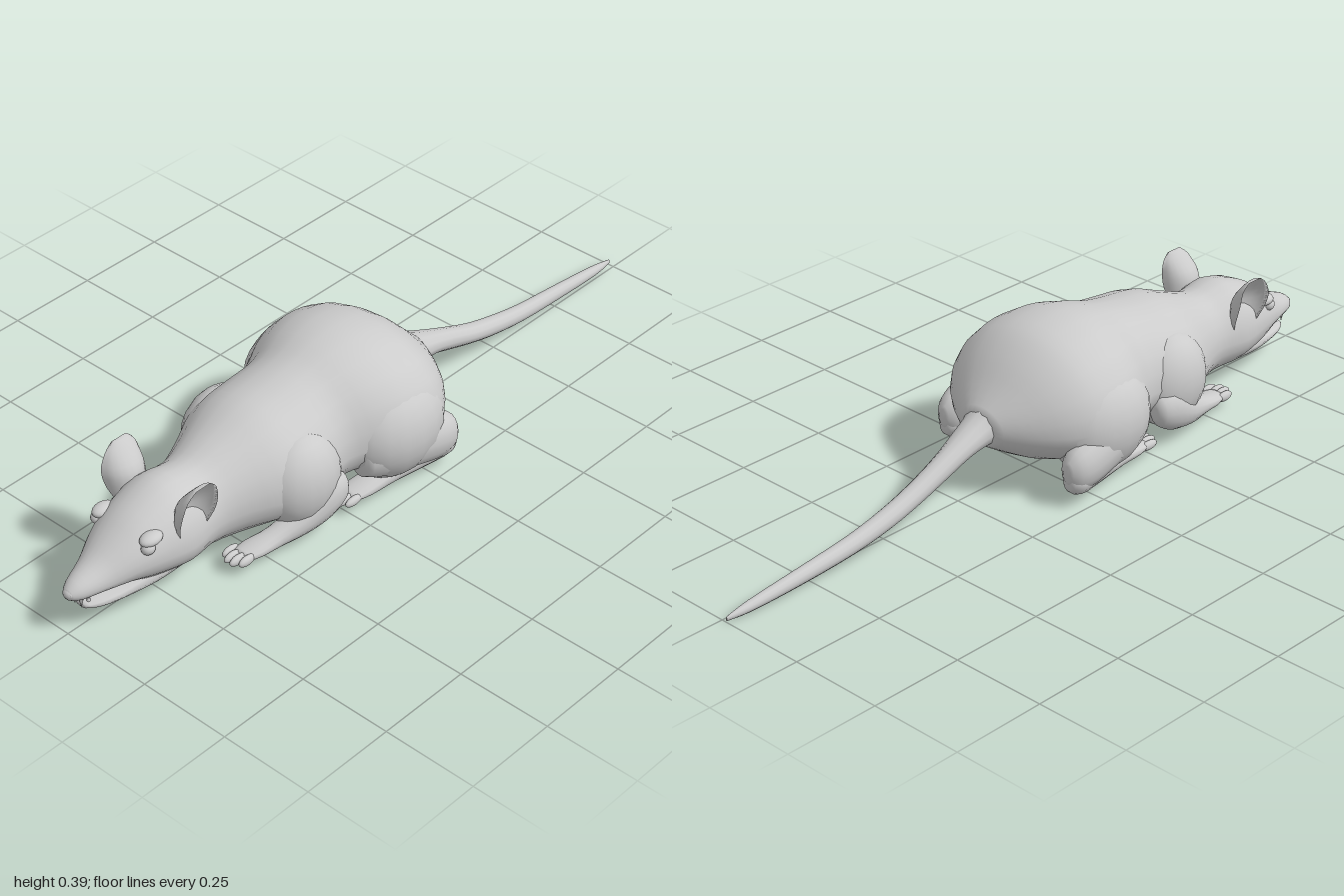
import * as THREE from 'three';

const material = new THREE.MeshStandardMaterial({ color: 0xcccccc });

// Catmull-Rom blend of one channel
function blend(a, b, c, d, t) {
  return 0.5 * (2 * b + (c - a) * t + (2 * a - 5 * b + 4 * c - d) * t * t + (3 * b - a - 3 * c + d) * t * t * t);
}

// Closed smooth skin over sections [z, x, yBottom, yTop, halfWidth, widestAt], z falling.
// cup: side (+1 / -1) whose surface is pushed in to make a hollow shell.
function loft(sections, sides = 16, steps = 3, cup = 0) {
  const rows = [];
  const at = i => sections[Math.min(Math.max(i, 0), sections.length - 1)];
  for (let i = 0; i < sections.length - 1; i++) {
    for (let s = 0; s < steps; s++) {
      rows.push(at(i).map((v, k) => blend(at(i - 1)[k], v, at(i + 1)[k], at(i + 2)[k], s / steps)));
    }
  }
  rows.push(sections[sections.length - 1]);
  const pos = [], index = [];
  for (const [z, x, lo, hi, half, widest = 0.5] of rows) {
    const mid = lo + (hi - lo) * widest;
    for (let j = 0; j < sides; j++) {
      const a = (j / sides) * Math.PI * 2;
      let c = Math.cos(a);
      if (c * cup > 0) c *= -0.75;
      const s = Math.sin(a);
      pos.push(x + Math.max(half, 0.001) * c, mid + s * (s > 0 ? hi - mid : mid - lo), z);
    }
  }
  for (let i = 0; i < rows.length - 1; i++) {
    for (let j = 0; j < sides; j++) {
      const a = i * sides + j, b = i * sides + (j + 1) % sides;
      index.push(a, a + sides, b, b, a + sides, b + sides);
    }
  }
  // end caps
  [0, rows.length - 1].forEach((r, end) => {
    const [z, x, lo, hi] = rows[r], centre = pos.length / 3;
    pos.push(x, (lo + hi) / 2, z);
    for (let j = 0; j < sides; j++) {
      const a = r * sides + j, b = r * sides + (j + 1) % sides;
      index.push(centre, end ? b : a, end ? a : b);
    }
  });
  const g = new THREE.BufferGeometry();
  g.setAttribute('position', new THREE.Float32BufferAttribute(pos, 3));
  g.setIndex(index);
  g.computeVertexNormals();
  return g;
}

export function createModel() {
  const model = new THREE.Group();
  model.name = 'rat';

  const add = (name, geometry, parent = model) => {
    const mesh = new THREE.Mesh(geometry, material);
    mesh.name = name;
    parent.add(mesh);
    return mesh;
  };
  const blob = (name, p, r, parent) => {
    const mesh = add(name, new THREE.SphereGeometry(1, 18, 12), parent);
    mesh.position.set(...p);
    mesh.scale.set(...r);
    return mesh;
  };
  // sections of a limb moved to one side
  const sided = (side, list) => list.map(([z, x, ...rest]) => [z, x * side, ...rest]);

  // Head and torso in one skin, nose to rump
  add('body', loft([
    [0.995, 0, 0.1, 0.122, 0.014, 0.5],
    [0.97, 0, 0.09, 0.14, 0.032, 0.45],
    [0.91, 0, 0.088, 0.165, 0.055, 0.4],
    [0.85, 0, 0.08, 0.205, 0.083, 0.45],
    [0.79, 0, 0.06, 0.242, 0.103, 0.45],
    [0.7, 0, 0.045, 0.275, 0.118, 0.4],
    [0.61, 0, 0.04, 0.265, 0.108, 0.45],
    [0.53, 0, 0.035, 0.29, 0.135, 0.45],
    [0.43, 0, 0.035, 0.327, 0.185, 0.4],
    [0.34, 0, 0.04, 0.34, 0.19, 0.4],
    [0.25, 0, 0.045, 0.357, 0.185, 0.4],
    [0.17, 0, 0.05, 0.38, 0.225, 0.4],
    [0.09, 0, 0.05, 0.387, 0.25, 0.4],
    [0, 0, 0.055, 0.37, 0.245, 0.4],
    [-0.07, 0, 0.07, 0.325, 0.205, 0.42],
    [-0.13, 0, 0.1, 0.265, 0.135, 0.45],
    [-0.18, 0, 0.13, 0.215, 0.055, 0.5],
  ], 24));

  // Tail, drooping to the ground
  add('tail', loft([
    [-0.1, 0, 0.14, 0.27, 0.1],
    [-0.17, -0.002, 0.13, 0.222, 0.055],
    [-0.24, -0.006, 0.12, 0.187, 0.04],
    [-0.32, -0.01, 0.09, 0.152, 0.031],
    [-0.41, -0.012, 0.06, 0.115, 0.028],
    [-0.5, -0.014, 0.036, 0.088, 0.026],
    [-0.62, -0.015, 0.016, 0.063, 0.023],
    [-0.78, -0.016, 0.005, 0.045, 0.019],
    [-0.93, -0.016, 0.001, 0.028, 0.014],
    [-1, -0.016, 0.005, 0.016, 0.003],
  ], 12));

  // Open mouth: lower jaw and nose
  add('lowerJaw', loft([
    [0.955, 0, 0.054, 0.068, 0.018],
    [0.92, 0, 0.046, 0.075, 0.04],
    [0.86, 0, 0.044, 0.085, 0.06],
    [0.78, 0, 0.042, 0.11, 0.08],
    [0.7, 0, 0.045, 0.12, 0.085],
  ], 14));
  blob('nose', [0, 0.112, 0.982], [0.02, 0.015, 0.018]);

  for (const side of [1, -1]) {
    const label = side > 0 ? 'left' : 'right';
    const half = new THREE.Group();
    half.name = label + 'Side';
    model.add(half);

    // Incisors
    const upper = add('upperIncisor', new THREE.ConeGeometry(0.009, 0.04, 8), half);
    upper.rotation.x = Math.PI;
    upper.position.set(side * 0.011, 0.082, 0.963);
    const lower = add('lowerIncisor', new THREE.ConeGeometry(0.008, 0.034, 8), half);
    lower.position.set(side * 0.01, 0.074, 0.94);

    // Eye and brow
    blob('eye', [side * 0.083, 0.187, 0.815], [0.016, 0.016, 0.018], half);
    blob('brow', [side * 0.078, 0.204, 0.8], [0.022, 0.015, 0.032], half);

    // Cupped ear, built lying down and stood upright
    const ear = add('ear', loft(sided(side, [
      [0.316, 0.138, -0.71, -0.665, 0.012],
      [0.295, 0.136, -0.735, -0.645, 0.03],
      [0.255, 0.133, -0.752, -0.638, 0.058],
      [0.21, 0.12, -0.748, -0.64, 0.05],
      [0.165, 0.1, -0.73, -0.655, 0.03],
    ]), 20, 3, side), half);
    ear.rotation.x = -Math.PI / 2;

    // Front limb: shoulder, folded forearm, paw
    blob('shoulder', [side * 0.128, 0.155, 0.365], [0.086, 0.125, 0.115], half);
    add('forearm', loft(sided(side, [
      [0.565, 0.125, 0.022, 0.042, 0.026],
      [0.53, 0.132, 0.02, 0.052, 0.034],
      [0.47, 0.148, 0.02, 0.072, 0.03],
      [0.4, 0.165, 0.026, 0.11, 0.036],
      [0.33, 0.175, 0.04, 0.16, 0.042],
      [0.28, 0.178, 0.065, 0.15, 0.03],
      [0.265, 0.178, 0.09, 0.125, 0.01],
    ]), 14), half);

    // Hind limb: thigh, shin, long foot
    blob('thigh', [side * 0.162, 0.165, 0.075], [0.106, 0.135, 0.15], half);
    add('shin', loft(sided(side, [
      [0.21, 0.18, 0.09, 0.17, 0.03],
      [0.16, 0.19, 0.07, 0.2, 0.05],
      [0.07, 0.205, 0.055, 0.2, 0.052],
      [-0.02, 0.212, 0.035, 0.17, 0.047],
      [-0.07, 0.212, 0.04, 0.145, 0.036],
      [-0.092, 0.212, 0.07, 0.115, 0.012],
    ]), 14), half);
    add('hindFoot', loft(sided(side, [
      [0.235, 0.158, 0.024, 0.042, 0.03],
      [0.19, 0.165, 0.02, 0.055, 0.037],
      [0.11, 0.18, 0.02, 0.075, 0.034],
      [0.01, 0.197, 0.02, 0.09, 0.036],
      [-0.06, 0.21, 0.026, 0.1, 0.036],
      [-0.088, 0.212, 0.045, 0.085, 0.014],
    ]), 14), half);

    // Four toes on each paw
    for (let i = 0; i < 4; i++) {
      const dx = (i - 1.5) * 0.018, dz = (i === 1 || i === 2) ? 0.012 : 0;
      blob('frontToe', [side * (0.122 + dx), 0.033, 0.568 + dz], [0.01, 0.013, 0.026], half);
      blob('hindToe', [side * (0.157 + dx), 0.033, 0.237 + dz], [0.01, 0.012, 0.028], half);
    }
  }
  return model;
}
